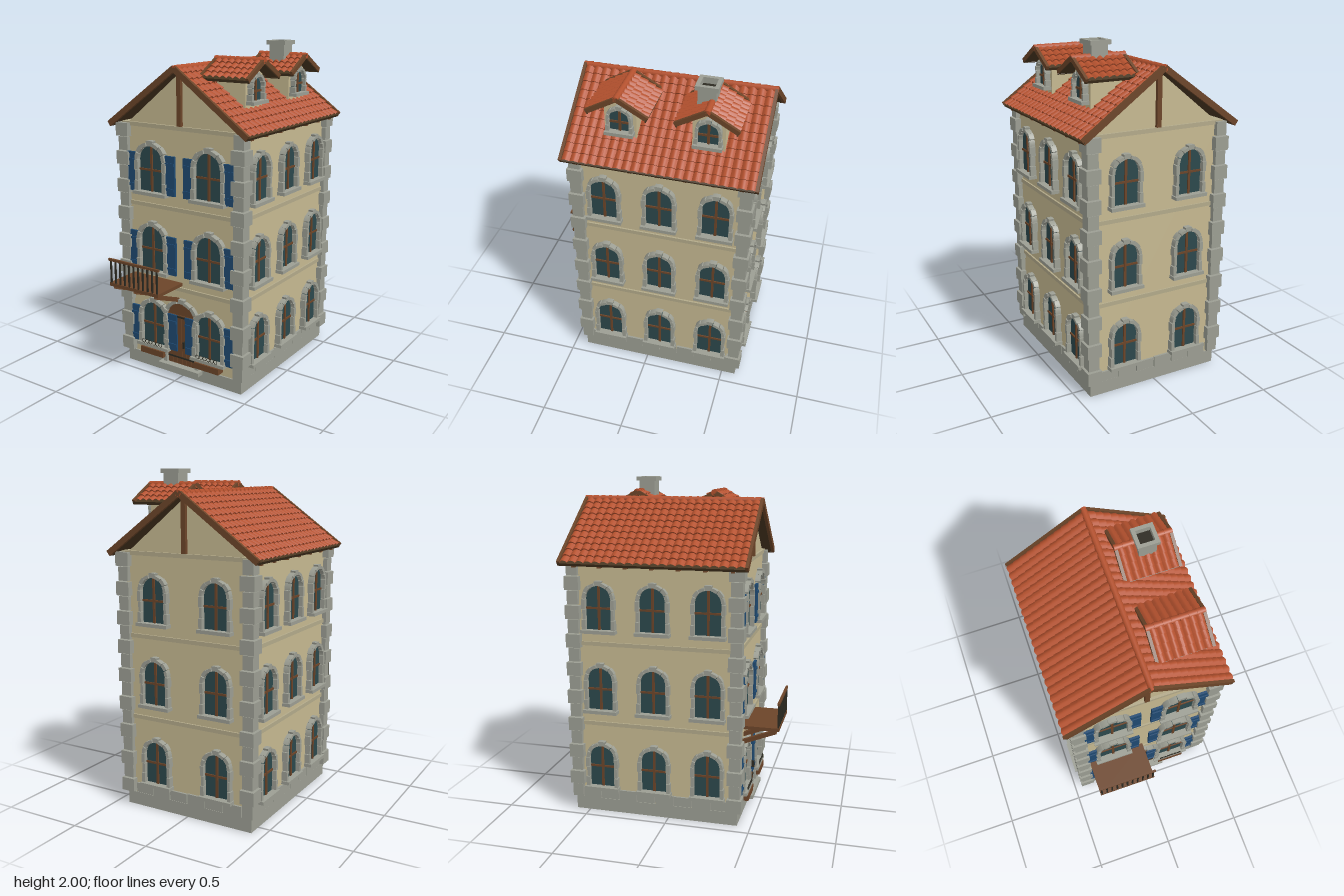
import * as THREE from 'three';
import { mergeGeometries, toCreasedNormals } from 'three/addons/utils/BufferGeometryUtils.js';

const paint = (name, color, side = THREE.FrontSide) => {
  const m = new THREE.MeshStandardMaterial({ color, side });
  m.name = name;
  return m;
};

export function createModel() {
  const M = {
    wall: paint('plaster', 0xc6b991), band: paint('trimStone', 0xb3aa8a),
    stone: paint('stone', 0x9c9e93), glass: paint('glass', 0x2c484c),
    wood: paint('wood', 0x6c4529), dark: paint('darkWood', 0x483620),
    blue: paint('shutterBlue', 0x1f4a72), iron: paint('iron', 0x2d2b22),
    tile: paint('roofTile', 0xb4512e, THREE.DoubleSide),
  };
  const house = new THREE.Group();
  house.name = 'house';
  const CZ = -0.083, HX = 0.415, HZ = 0.493, FRONT = CZ + HZ, BACK = CZ - HZ;

  const mesh = (name, geo, mat, parent = house) => {
    const m = new THREE.Mesh(geo, mat);
    m.name = name;
    parent.add(m);
    return m;
  };
  const boxGeo = (w, h, d, x, y, z) => new THREE.BoxGeometry(w, h, d).translate(x, y, z);
  const box = (name, mat, w, h, d, x, y, z, parent) => mesh(name, boxGeo(w, h, d, x, y, z), mat, parent);
  const extrude = (shape, depth, seg = 12) =>
    new THREE.ExtrudeGeometry(shape, { depth, bevelEnabled: false, curveSegments: seg });
  const place = (part, x, y, z, turn = 0) => {
    const c = part.clone();
    c.position.set(x, y, z);
    c.rotation.y = turn;
    house.add(c);
    return c;
  };

  // Arched opening: panel, wedge stones over the arch, jamb blocks; faces +z
  function archOpening(name, R, t, straight, depth, panelMat, lift) {
    const g = new THREE.Group(), r = R - t, top = lift + straight;
    g.name = name;
    const s = new THREE.Shape();
    s.moveTo(-r, lift);
    s.lineTo(r, lift);
    s.lineTo(r, top);
    s.absarc(0, top, r, 0, Math.PI, false);
    s.closePath();
    mesh(name + 'Panel', extrude(s, 0.008, 16), panelMat, g);
    const stones = [], n = 7;
    for (let i = 0; i < n; i++) {
      const a = (i + 0.04) * Math.PI / n, b = (i + 0.96) * Math.PI / n;
      const w = new THREE.Shape(), out = R + (i % 2 ? 0 : -0.004) + (i === 3 ? 0.006 : 0);
      w.absarc(0, top, out, a, b, false);
      w.absarc(0, top, r, b, a, true);
      stones.push(extrude(w, depth - (i % 2) * 0.004, 3).toNonIndexed?.() ?? extrude(w, depth, 3));
    }
    const rows = Math.max(2, Math.round(straight / 0.06));
    for (const sx of [-1, 1]) for (let i = 0; i < rows; i++) {
      const wide = t - (i % 2) * 0.005, h = straight / rows;
      stones.push(boxGeo(wide, h - 0.003, depth - (i % 2) * 0.004,
        sx * (r + wide / 2), lift + (i + 0.5) * h, depth / 2).toNonIndexed());
    }
    mesh(name + 'Surround', mergeGeometries(stones), M.stone, g);
    return g;
  }

  // Glazed window with a cross of bars and a projecting sill
  function windowUnit(R, t, straight) {
    const g = archOpening('window', R, t, straight, 0.036, M.glass, 0.02), r = R - t;
    box('sill', M.stone, R * 2 + 0.01, 0.02, 0.05, 0, 0.01, 0.025, g);
    box('uprightBar', M.wood, 0.014, straight + r, 0.008, 0, 0.02 + (straight + r) / 2, 0.012, g);
    box('crossBar', M.wood, r * 2, 0.012, 0.008, 0, 0.02 + straight * 0.7, 0.011, g);
    return g;
  }
  const sideWindow = windowUnit(0.1, 0.022, 0.182);
  const frontWindow = windowUnit(0.115, 0.026, 0.185);
  const dormerWindow = windowUnit(0.076, 0.019, 0.075);

  // Plinth, walls and gables
  box('plinth', M.stone, 0.85, 0.08, 1.004, 0, 0.04, CZ);
  box('walls', M.wall, HX * 2, 1.46, HZ * 2, 0, 0.81, CZ);
  const tri = new THREE.Shape([[-0.385, 1.54], [0.385, 1.54], [0, 1.848]].map(p => new THREE.Vector2(...p)));
  mesh('gables', extrude(tri, HZ * 2 - 0.01), M.wall).position.z = BACK + 0.005;
  for (const z of [FRONT, BACK]) box('gablePost', M.wood, 0.028, 0.31, 0.03, 0, 1.70, z);
  for (const y of [0.562, 1.053, 1.532])
    box('floorBand', M.band, HX * 2 + 0.02, 0.024, HZ * 2 + 0.02, 0, y, CZ);

  // Corner stones, alternating large and small
  for (const sx of [-1, 1]) for (const sz of [-1, 1]) for (let i = 0; i < 17; i++) {
    const big = (i + (sx * sz > 0 ? 0 : 1)) % 2, s = big ? 0.088 : 0.066;
    box('cornerStone', M.stone, s, 0.08, s, sx * 0.409, 0.128 + i * 0.0855, CZ + sz * 0.486);
  }

  // Stone course above the plinth on the sides and back
  for (let i = 0; i < 8; i++) for (const sx of [-1, 1])
    box('courseStone', M.stone, 0.025, 0.064 - (i % 2) * 0.006, 0.11, sx * HX, 0.112, CZ + (i - 3.5) * 0.114);
  for (let i = 0; i < 6; i++)
    box('courseStone', M.stone, 0.116, 0.064 - (i % 2) * 0.006, 0.025, (i - 2.5) * 0.121, 0.112, BACK);

  // Windows on three floors, with shutters on the front
  for (let f = 0; f < 3; f++) {
    const y = 0.146 + f * 0.487;
    for (const z of [0.24, -0.085, -0.41]) {
      place(sideWindow, HX, y, z, Math.PI / 2);
      place(sideWindow, -HX, y, z, -Math.PI / 2);
    }
    for (const x of [-0.205, 0.205]) {
      place(frontWindow, x, y, FRONT);
      place(sideWindow, x, y, BACK, Math.PI);
      for (const o of [-0.14, 0.14]) {
        box('shutter', M.blue, 0.068, 0.236, 0.014, x + o, y + 0.13, FRONT + 0.016);
        for (const h of [0.05, 0.2])
          box('shutterBatten', M.blue, 0.064, 0.016, 0.008, x + o, y + h, FRONT + 0.025);
      }
    }
  }

  // Front door with planks, straps and a step
  const door = archOpening('door', 0.128, 0.022, 0.295, 0.03, M.wood, 0);
  for (let i = 0; i < 6; i++)
    box('doorPlank', M.wood, 0.032, 0.32, 0.006, (i - 2.5) * 0.035, 0.16, 0.01, door);
  for (const y of [0.045, 0.31]) box('doorStrap', M.iron, 0.2, 0.01, 0.005, 0, y, 0.015, door);
  box('doorHandle', M.iron, 0.012, 0.04, 0.03, 0.025, 0.14, 0.02, door);
  place(door, 0, 0.075, FRONT);
  box('doorStep', M.stone, 0.3, 0.024, 0.065, 0, 0.063, FRONT + 0.024);

  // Planter boxes with small iron scrolls
  for (const x of [-0.205, 0.205]) {
    box('planter', M.wood, 0.175, 0.038, 0.05, x, 0.122, FRONT + 0.028);
    for (let i = 0; i < 6; i++)
      mesh('planterScroll', new THREE.TorusGeometry(0.012, 0.002, 4, 10), M.iron)
        .position.set(x + (i - 2.5) * 0.026, 0.18, FRONT + 0.048);
  }

  // Balcony: deck, braces, balusters and rail
  box('balconyDeck', M.wood, 0.365, 0.02, 0.235, -0.1825, 0.594, FRONT + 0.1175);
  for (const x of [-0.337, -0.184, -0.03]) {
    const brace = box('balconyBrace', M.wood, 0.026, 0.024, 0.235, 0, 0, 0);
    brace.position.set(x, 0.532, FRONT + 0.105);
    brace.rotation.x = -0.38;
  }
  for (let i = 0; i < 11; i++)
    box('baluster', M.iron, 0.009, 0.14, 0.009, -0.355 + i * 0.0345, 0.67, 0.639);
  box('balconyRail', M.wood, 0.375, 0.014, 0.014, -0.1825, 0.748, 0.639);

  // Rounded tiles in overlapping courses: x runs down the slope, z along the ridge
  function tileGeometry(S, L, cols, courses) {
    const pos = [], idx = [], seg = cols * 6;
    for (let c = 0; c < courses; c++) for (let e = 0; e < 2; e++) for (let k = 0; k <= seg; k++)
      pos.push((c + e) * S / courses, 0.003 + e * 0.009 + 0.014 * Math.abs(Math.sin(Math.PI * k / 6)), (k / seg - 0.5) * L);
    for (let r = 0; r < courses * 2 - 1; r++) for (let k = 0; k < seg; k++) {
      const a = r * (seg + 1) + k, b = a + seg + 1;
      idx.push(a, a + 1, b, a + 1, b + 1, b);
    }
    const g = new THREE.BufferGeometry();
    g.setAttribute('position', new THREE.Float32BufferAttribute(pos, 3));
    g.setIndex(idx);
    return toCreasedNormals(g, 0.7);
  }

  // Gabled roof, apex at the origin and ridge along z
  function gabledRoof(name, run, rise, L, cols, courses, caps, board) {
    const g = new THREE.Group(), S = Math.hypot(run, rise);
    g.name = name;
    const tiles = tileGeometry(S, L - 0.03, cols, courses);
    for (const turn of [0, Math.PI]) {
      const half = new THREE.Group(), slope = new THREE.Group();
      half.rotation.y = turn;
      slope.rotation.z = -Math.atan2(rise, run);
      mesh('tiles', tiles, M.tile, slope);
      box('roofBoards', M.dark, S, 0.012, L - 0.01, S / 2, -0.005, 0, slope);
      for (const sz of [-1, 1])
        box('bargeBoard', M.wood, S + 0.008, board, 0.018, S / 2, 0.004, sz * (L / 2 - 0.009), slope);
      box('eaveBoard', M.dark, 0.008, 0.018, L, S, -0.004, 0, slope);
      half.add(slope);
      g.add(half);
    }
    for (let i = 0; i < caps; i++) {
      const cap = mesh('ridgeTile', new THREE.CylinderGeometry(0.017, 0.02, L / caps, 10), M.tile, g);
      cap.rotation.x = Math.PI / 2;
      cap.position.set(0, 0.004, (i + 0.5) * L / caps - L / 2);
    }
    house.add(g);
    return g;
  }
  gabledRoof('mainRoof', 0.478, 0.342, 1.11, 22, 11, 22, 0.034).position.set(0, 1.868, CZ);

  // Rafter tails under the main eaves
  for (const sx of [-1, 1]) for (let i = 0; i < 7; i++)
    box('rafterTail', M.wood, 0.06, 0.022, 0.02, sx * 0.435, 1.515, CZ + (i - 3) * 0.155);

  // Two dormers on the left slope
  for (const z of [0.157, -0.332]) {
    const s = new THREE.Shape([[-0.09, 1.57], [0.09, 1.57], [0.09, 1.83], [0, 1.885], [-0.09, 1.83]]
      .map(p => new THREE.Vector2(...p)));
    const body = mesh('dormerWalls', extrude(s, 0.22), M.wall);
    body.rotation.y = Math.PI / 2;
    body.position.set(0.11, 0, z);
    place(dormerWindow, 0.33, 1.67, z, Math.PI / 2);
    const roof = gabledRoof('dormerRoof', 0.166, 0.094, 0.33, 7, 4, 7, 0.026);
    roof.rotation.y = Math.PI / 2;
    roof.position.set(0.236, 1.907, z);
    for (const sz of [-1, 1]) for (let i = 0; i < 5; i++)
      box('dormerRafter', M.dark, 0.015, 0.016, 0.06, 0.13 + i * 0.045, 1.81, z + sz * 0.115);
  }

  // Chimney with an open flue
  const ring = (o, i, y, h) => {
    const sq = (C, a) => new C([[-a, -a], [a, -a], [a, a], [-a, a]].map(p => new THREE.Vector2(...p)));
    const s = sq(THREE.Shape, o);
    s.holes.push(sq(THREE.Path, i));
    return extrude(s, h).rotateX(-Math.PI / 2).translate(0.236, y, -0.303);
  };
  mesh('chimneyShaft', ring(0.05, 0.041, 1.82, 0.155), M.stone);
  mesh('chimneyCap', ring(0.063, 0.041, 1.975, 0.025), M.stone);
  box('flue', M.iron, 0.083, 0.13, 0.083, 0.236, 1.9, -0.303);

  return house;
}
